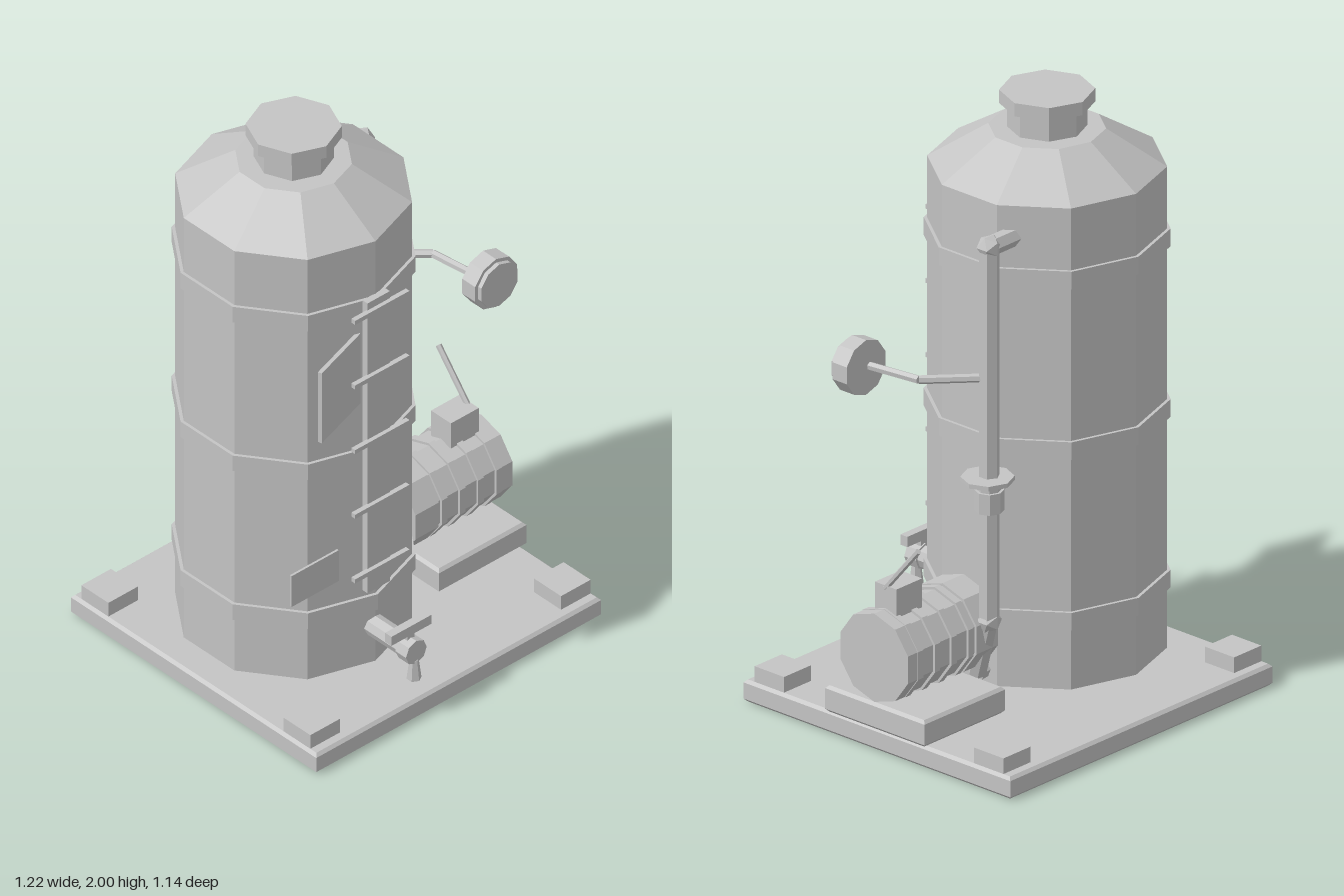
import * as THREE from 'three';

export function createModel() {
  const model = new THREE.Group();
  const metal = new THREE.MeshStandardMaterial({ color: 0xc4c4c4, flatShading: true });
  metal.name = 'grey metal';

  const add = (name, geometry, x = 0, y = 0, z = 0) => {
    const mesh = new THREE.Mesh(geometry, metal);
    mesh.name = name;
    mesh.position.set(x, y, z);
    model.add(mesh);
    return mesh;
  };
  // box given by its lower and upper corners
  const box = (name, a, b) => add(name,
    new THREE.BoxGeometry(b[0] - a[0], b[1] - a[1], b[2] - a[2]),
    (a[0] + b[0]) / 2, (a[1] + b[1]) / 2, (a[2] + b[2]) / 2);
  // upright cylinder between two heights
  const post = (name, x, z, y0, y1, r, sides, rTop = r) => add(name,
    new THREE.CylinderGeometry(rTop, r, y1 - y0, sides), x, (y0 + y1) / 2, z);
  // straight rod between any two points
  const rod = (name, a, b, r, sides = 6) => {
    const p = new THREE.Vector3(...a), q = new THREE.Vector3(...b);
    const dir = q.clone().sub(p);
    const mesh = add(name, new THREE.CylinderGeometry(r, r, dir.length(), sides));
    mesh.position.copy(p).lerp(q, 0.5);
    mesh.quaternion.setFromUnitVectors(new THREE.Vector3(0, 1, 0), dir.normalize());
    return mesh;
  };
  // horizontal slab with chamfered edges
  const slab = (name, x0, x1, y0, y1, z0, z1, c = 0.01) => {
    const s = new THREE.Shape();
    s.moveTo(x0 + c, -z1 + c);
    s.lineTo(x1 - c, -z1 + c);
    s.lineTo(x1 - c, -z0 - c);
    s.lineTo(x0 + c, -z0 - c);
    s.closePath();
    const g = new THREE.ExtrudeGeometry(s, {
      depth: y1 - y0 - 2 * c, bevelEnabled: true, bevelSize: c, bevelThickness: c, bevelSegments: 1,
    });
    g.rotateX(-Math.PI / 2);
    return add(name, g, 0, y0 + c, 0);
  };

  // base plate and corner pads
  slab('basePlate', -0.61, 0.595, 0, 0.075, -0.568, 0.56);
  for (const x of [-0.6, 0.46])
    for (const z of [-0.53, 0.398]) box('cornerPad', [x, 0.07, z], [x + 0.125, 0.128, z + 0.124]);

  // tank with conical shoulder, neck and lid
  const tx = -0.183, tz = -0.008;
  post('tankBody', tx, tz, 0.12, 1.755, 0.376, 10);
  post('tankShoulder', tx, tz, 1.755, 1.875, 0.376, 10, 0.185);
  post('tankNeck', tx, tz, 1.86, 1.957, 0.125, 8);
  post('tankLid', tx, tz, 1.955, 2.0, 0.15, 8);
  for (const y of [0.355, 0.935, 1.515]) post('tankBand', tx, tz, y - 0.03, y + 0.03, 0.387, 10);

  // level gauge strip with cross clips
  box('gaugeStrip', [-0.235, 0.42, 0.365], [-0.14, 1.55, 0.388]);
  for (let i = 0; i < 5; i++) {
    const y = 0.507 + i * 0.252;
    box('gaugeClip', [-0.3, y - 0.008, 0.385], [-0.07, y + 0.008, 0.402]);
  }

  // sign plates
  const sign = add('upperPlate', new THREE.BoxGeometry(0.24, 0.272, 0.014), -0.35, 1.278, 0.383);
  sign.rotation.y = 0.3;
  box('lowerPlate', [-0.537, 0.51, 0.36], [-0.338, 0.63, 0.368]);

  // drain tap at the foot of the tank
  rod('drainPipe', [tx, 0.257, 0.34], [tx, 0.257, 0.52], 0.037, 8);
  box('drainHandle', [-0.27, 0.315, 0.507], [-0.1, 0.35, 0.536]);
  box('drainStem', [-0.198, 0.25, 0.512], [-0.168, 0.32, 0.531]);
  rod('drainBody', [tx, 0.257, 0.507], [tx, 0.257, 0.556], 0.044, 8);
  post('drainSpout', tx, 0.545, 0.152, 0.225, 0.024, 6, 0.015);

  // riser pipe with elbows
  const px = 0.243, pz = -0.155;
  post('riserPipe', px, pz, 0.37, 1.645, 0.034, 6);
  rod('upperInlet', [0.1, 1.645, pz], [px, 1.645, pz], 0.032);
  for (const y of [0.375, 1.645]) add('elbow', new THREE.IcosahedronGeometry(0.041, 0), px, y, pz);
  rod('lowerPipe', [px, 0.375, pz], [0.21, 0.165, -0.075], 0.03);
  rod('lowerInlet', [0.21, 0.165, -0.075], [0.1, 0.165, -0.06], 0.028);

  // valve on the riser
  post('valveBody', px, pz, 0.75, 0.82, 0.047, 8);
  post('valveNeck', px, pz, 0.82, 0.855, 0.038, 8);
  post('valveWheel', px + 0.008, pz, 0.853, 0.868, 0.085, 8);

  // pressure dial on a bent arm
  rod('dialArm', [px, 1.2, pz], [0.403, 1.2, -0.005], 0.014);
  rod('dialArm', [0.403, 1.2, -0.005], [0.428, 1.2, 0.19], 0.014);
  rod('dialCase', [0.445, 1.2, 0.18], [0.445, 1.2, 0.24], 0.093, 10);
  rod('dialFace', [0.445, 1.2, 0.235], [0.445, 1.2, 0.255], 0.08, 10);

  // pump motor on its plinth
  slab('motorPlinth', 0.235, 0.606, 0.075, 0.165, -0.215, 0.205);
  const drum = (name, x0, x1, r) => {
    const g = new THREE.CylinderGeometry(r, r, x1 - x0, 10, 1, false, Math.PI / 2);
    g.rotateZ(-Math.PI / 2);
    return add(name, g, (x0 + x1) / 2, 0.32, -0.003);
  };
  drum('motorBody', 0.2, 0.604, 0.143);
  drum('motorEnd', 0.195, 0.293, 0.152);
  for (let i = 0; i < 4; i++) drum('motorFin', 0.306 + i * 0.077, 0.33 + i * 0.077, 0.152);
  drum('motorFrontEnd', 0.562, 0.606, 0.15);

  // switch box and lever
  box('switchBox', [0.435, 0.45, -0.048], [0.553, 0.548, 0.043]);
  rod('switchLever', [0.545, 0.53, 0.01], [0.545, 0.7, -0.133], 0.01);

  return model;
}
